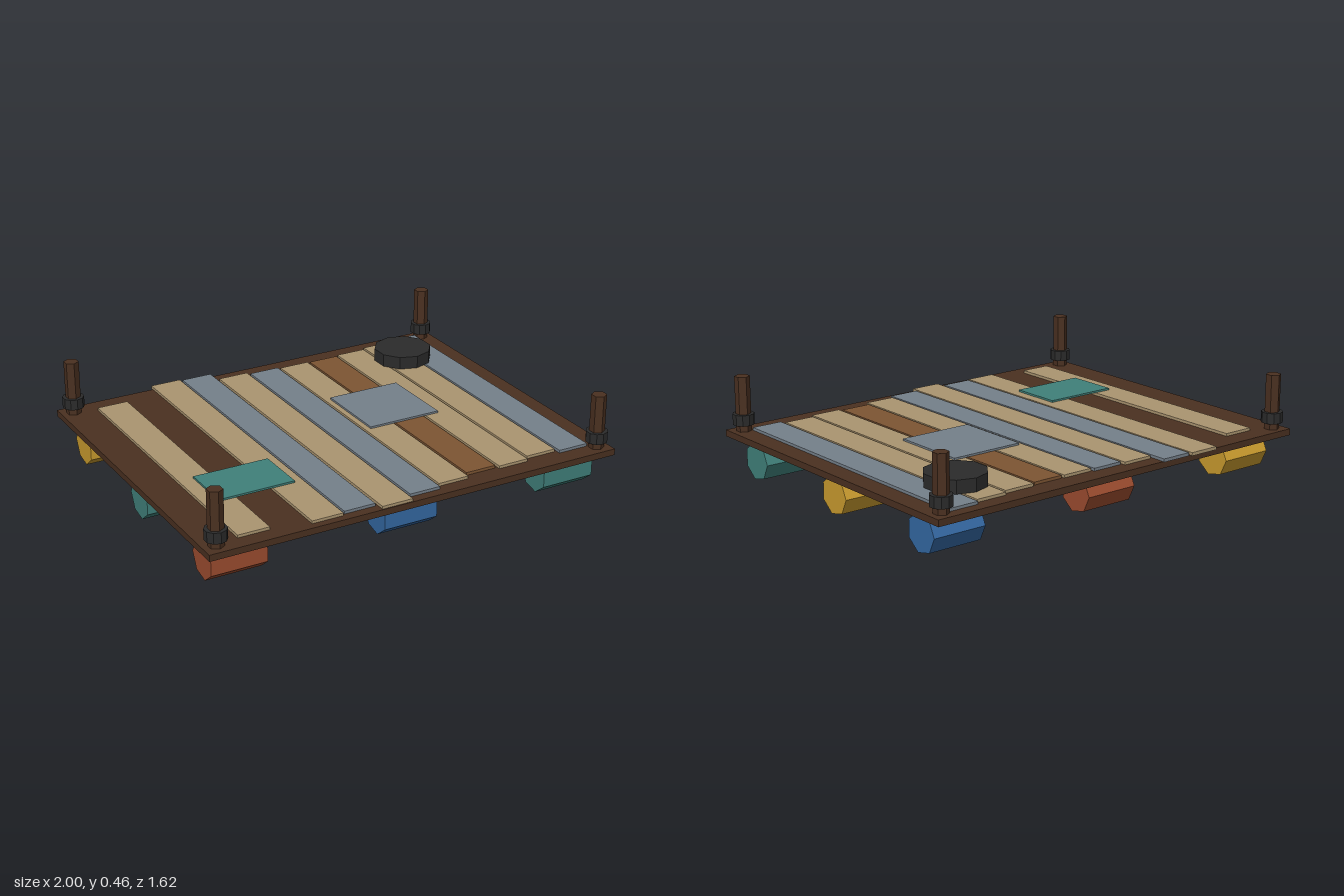
import * as THREE from 'three';

const material = (name, color) => {
  const m = new THREE.MeshStandardMaterial({ color });
  m.name = name;
  return m;
};

export function createModel() {
  const raft = new THREE.Group();
  raft.name = 'raft';

  const darkWood = material('dark wood', 0x4a3020);
  const paleWood = material('pale wood', 0xab9570);
  const greyWood = material('weathered grey', 0x75808a);
  const brownWood = material('brown wood', 0x7d5533);
  const teal = material('teal', 0x40807a);
  const blue = material('blue', 0x3468a2);
  const gold = material('gold', 0xc99b2e);
  const red = material('rust red', 0x9c4c2f);
  const rust = material('dark rust', 0x733c29);
  const black = material('rubber black', 0x2b2b2b);

  const add = (name, geometry, mat, x, y, z) => {
    const mesh = new THREE.Mesh(geometry, mat);
    mesh.name = name;
    mesh.position.set(x, y, z);
    raft.add(mesh);
  };
  // Box given by its x, y and z ranges
  const slab = (name, mat, x0, x1, y0, y1, z0, z1) =>
    add(name, new THREE.BoxGeometry(x1 - x0, y1 - y0, z1 - z0), mat,
      (x0 + x1) / 2, (y0 + y1) / 2, (z0 + z1) / 2);
  // Faceted upright prism with flat normals
  const prism = (radius, height, sides) => {
    const g = new THREE.CylinderGeometry(radius, radius, height, sides).toNonIndexed();
    g.computeVertexNormals();
    return g;
  };

  // Base deck
  slab('deck', darkWood, -1, 1, 0.175, 0.205, -0.795, 0.805);

  // Uneven planks: centre x, back z, front z, colour
  [
    [-0.762, -0.70, 0.73, paleWood],
    [-0.44, -0.81, 0.77, paleWood],
    [-0.282, -0.80, 0.76, greyWood],
    [-0.122, -0.727, 0.80, paleWood],
    [0.037, -0.71, 0.76, greyWood],
    [0.196, -0.70, 0.735, paleWood],
    [0.355, -0.695, 0.705, brownWood],
    [0.515, -0.705, 0.72, paleWood],
    [0.675, -0.722, 0.697, paleWood],
    [0.834, -0.742, 0.72, greyWood],
  ].forEach(([x, z0, z1, mat]) =>
    slab('plank', mat, x - 0.074, x + 0.074, 0.203, 0.218, z0, z1));

  // Patches laid over the planks
  slab('tealPatch', teal, -0.77, -0.41, 0.22, 0.229, 0.18, 0.43);
  slab('greyPatch', greyWood, 0.147, 0.505, 0.22, 0.229, -0.253, 0.12);

  // Floating barrels below, rows from back to front
  const barrel = prism(0.09, 0.26, 7).rotateZ(Math.PI / 2).rotateY(Math.PI);
  [[gold, red, blue], [teal, rust, gold], [red, blue, teal]].forEach((row, j) =>
    row.forEach((mat, i) =>
      add('barrel', barrel, mat, (i - 1) * 0.82, 0.0878, 0.01 + (j - 1) * 0.62)));

  // Corner posts with collars
  const post = prism(0.035, 0.255, 6);
  const collar = prism(0.05, 0.05, 10);
  for (const x of [-0.94, 0.94]) {
    for (const z of [-0.735, 0.745]) {
      add('post', post, darkWood, x, 0.3325, z);
      add('collar', collar, black, x, 0.261, z);
    }
  }

  // Tyre lying on the deck
  add('tyre', prism(0.139, 0.06, 10), black, 0.698, 0.25, -0.512);

  return raft;
}
